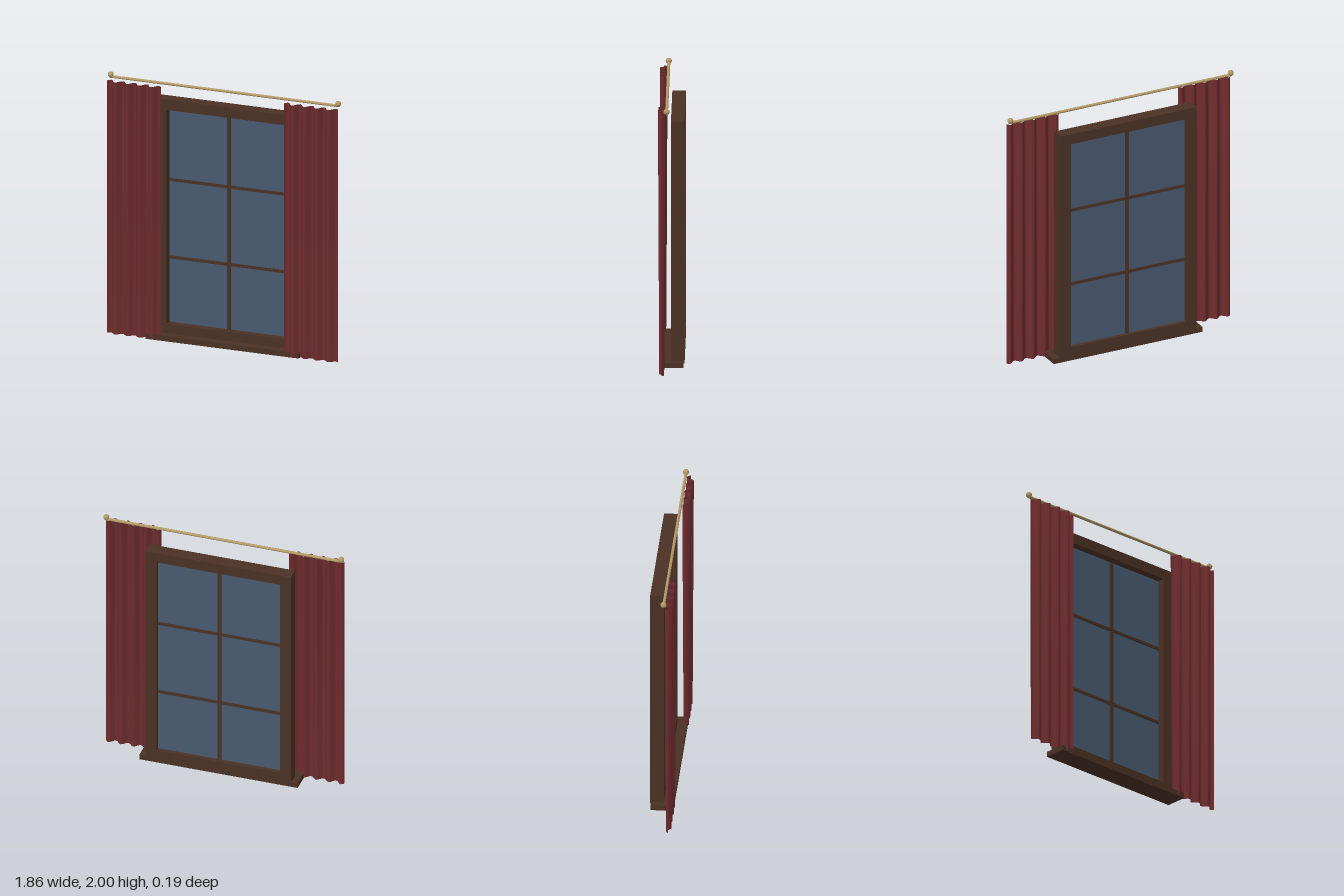
import * as THREE from 'three';

const wood = new THREE.MeshStandardMaterial({ color: 0x4a3125 });
wood.name = 'darkWood';
const glassMat = new THREE.MeshStandardMaterial({ color: 0x485a70 });
glassMat.name = 'blueGlass';
const brass = new THREE.MeshStandardMaterial({ color: 0xb59a68, flatShading: true });
brass.name = 'brass';
const cloth = new THREE.MeshStandardMaterial({ color: 0x702c2e, side: THREE.DoubleSide });
cloth.name = 'redCloth';

export function createModel() {
  const model = new THREE.Group();
  model.name = 'curtainedWindow';

  const add = (name, geometry, material, x, y, z) => {
    const mesh = new THREE.Mesh(geometry, material);
    mesh.name = name;
    mesh.position.set(x, y, z);
    model.add(mesh);
    return mesh;
  };
  const box = (name, w, h, d, x, y, z, material = wood) =>
    add(name, new THREE.BoxGeometry(w, h, d), material, x, y, z);

  // Window frame with one rectangular opening
  const outline = new THREE.Shape([
    new THREE.Vector2(-0.56, 0.025), new THREE.Vector2(0.56, 0.025),
    new THREE.Vector2(0.56, 1.83), new THREE.Vector2(-0.56, 1.83),
  ]);
  outline.holes.push(new THREE.Path([
    new THREE.Vector2(-0.475, 0.11), new THREE.Vector2(-0.475, 1.75),
    new THREE.Vector2(0.475, 1.75), new THREE.Vector2(0.475, 0.11),
  ]));
  const frame = new THREE.ExtrudeGeometry(outline, { depth: 0.1, bevelEnabled: false });
  add('windowFrame', frame, wood, 0, 0, -0.097);

  // Sill
  box('sill', 1.22, 0.04, 0.167, 0, 0.02, -0.006);

  // Glass and glazing bars
  box('glass', 0.95, 1.64, 0.01, 0, 0.93, -0.06, glassMat);
  box('verticalBar', 0.028, 1.64, 0.03, 0, 0.93, -0.06);
  for (const y of [0.609, 1.203]) box('horizontalBar', 0.95, 0.022, 0.028, 0, y, -0.06);

  // Curtains: pleated sheets whose folds grow shallower towards the hem
  const width = 0.43, height = 1.935, folds = 4.5;
  for (const [name, x] of [['rightCurtain', -0.705], ['leftCurtain', 0.705]]) {
    const sheet = new THREE.PlaneGeometry(width, height, 36, 8);
    const p = sheet.attributes.position;
    for (let i = 0; i < p.count; i++) {
      const u = p.getX(i) / width + 0.5;
      const v = p.getY(i) / height + 0.5;
      const depth = THREE.MathUtils.lerp(0.018, 0.027, v);
      p.setZ(i, -depth * Math.sin(u * folds * Math.PI * 2));
    }
    sheet.computeVertexNormals();
    add(name, sheet, cloth, x, 0.005 + height / 2, 0.068);
  }

  // Curtain rod with a faceted finial at each end
  const rod = add('rod', new THREE.CylinderGeometry(0.011, 0.011, 1.81, 8), brass, 0, 1.962, 0.032);
  rod.rotation.z = Math.PI / 2;
  for (const side of [-1, 1]) {
    add('finial', new THREE.SphereGeometry(0.023, 8, 6), brass, side * 0.905, 1.977, 0.032);
  }

  return model;
}
